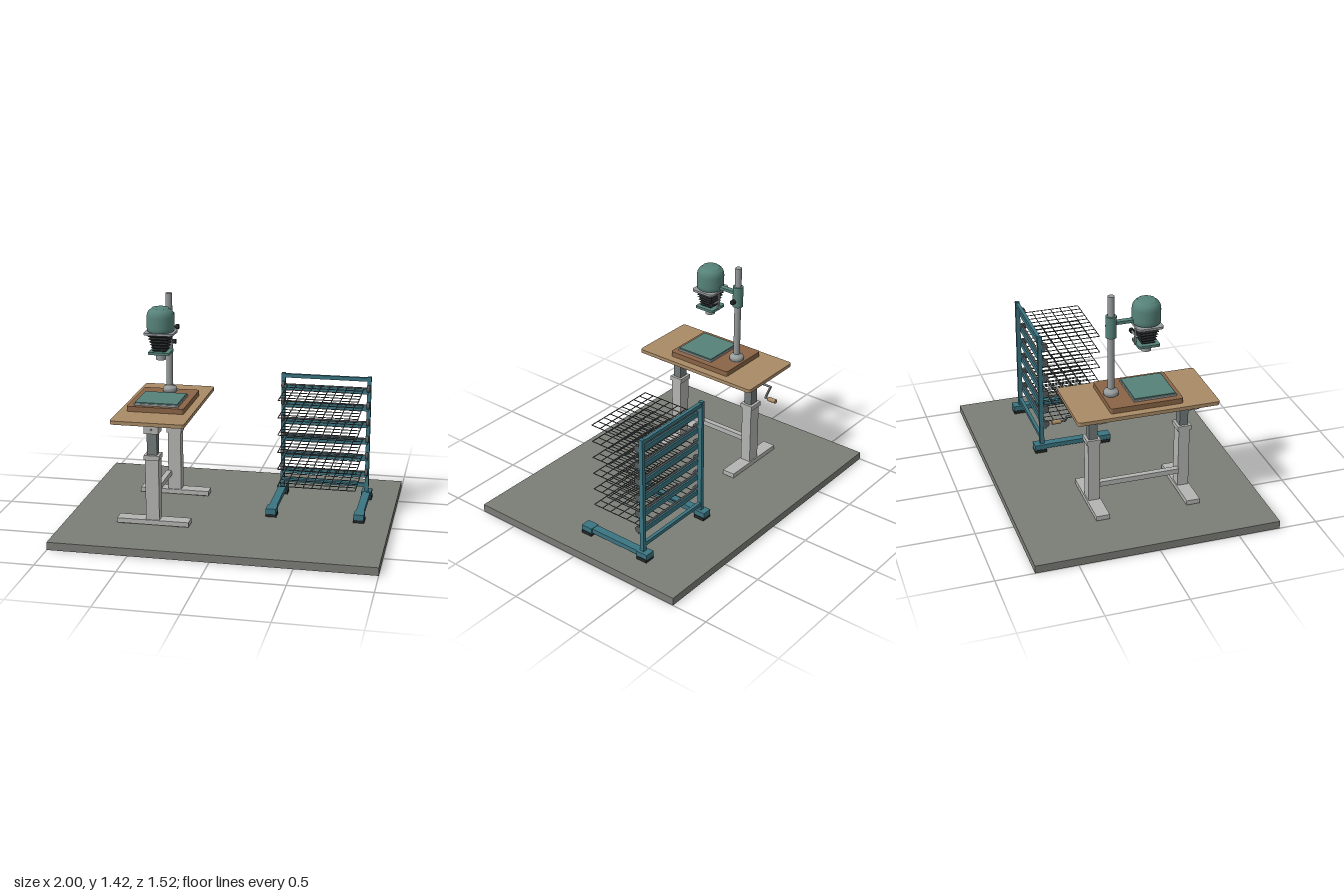
import * as THREE from 'three';
import { mergeGeometries } from 'three/addons/utils/BufferGeometryUtils.js';

const mat = (color, extra = {}) => {
  const m = new THREE.MeshStandardMaterial({ color });
  return Object.assign(m, extra);
};
const M = {
  floor: mat(0x7b7d77), wood: mat(0xa98a66), darkWood: mat(0x8a6546), teal: mat(0x568279),
  rack: mat(0x3b7582), light: mat(0xb4b4b2), steel: mat(0x959a9b), inner: mat(0x727a79),
  black: mat(0x232727), wire: mat(0x565a5b), bellows: mat(0x232727, { flatShading: true }),
};

function add(parent, name, geo, material, x = 0, y = 0, z = 0) {
  const m = new THREE.Mesh(geo, material);
  m.name = name;
  m.position.set(x, y, z);
  parent.add(m);
  return m;
}
const box = (w, h, d) => new THREE.BoxGeometry(w, h, d);
const cyl = (r, h, n = 24, r2 = r) => new THREE.CylinderGeometry(r2, r, h, n);
const cylX = (r, h, n = 20) => cyl(r, h, n).rotateZ(Math.PI / 2);
const cylZ = (r, h, n = 20) => cyl(r, h, n).rotateX(Math.PI / 2);
const lathe = pts => new THREE.LatheGeometry(pts.map(p => new THREE.Vector2(...p)), 32);

// Horizontal board with rounded corners, bottom at y = 0
function slab(w, d, h, r) {
  const s = new THREE.Shape(), a = w / 2, b = d / 2;
  s.moveTo(-a + r, -b).lineTo(a - r, -b);
  s.absarc(a - r, -b + r, r, -Math.PI / 2, 0);
  s.absarc(a - r, b - r, r, 0, Math.PI / 2);
  s.absarc(-a + r, b - r, r, Math.PI / 2, Math.PI);
  s.absarc(-a + r, -b + r, r, Math.PI, Math.PI * 1.5);
  return new THREE.ExtrudeGeometry(s, { depth: h, bevelEnabled: false, curveSegments: 6 }).rotateX(-Math.PI / 2);
}

// Rectangular pleated bellows built from folded rings
function bellowsGeometry(h, topW, topD, botW, botD, folds) {
  const pos = [], idx = [], n = folds * 2;
  for (let i = 0; i <= n; i++) {
    const t = i / n, k = i % 2 ? 1 : 0.82;
    const w = THREE.MathUtils.lerp(botW, topW, t) * k / 2, d = THREE.MathUtils.lerp(botD, topD, t) * k / 2;
    for (const [sx, sz] of [[1, 1], [1, -1], [-1, -1], [-1, 1]]) pos.push(sx * w, t * h, sz * d);
  }
  for (let i = 0; i < n; i++) for (let j = 0; j < 4; j++) {
    const a = i * 4 + j, b = i * 4 + (j + 1) % 4;
    idx.push(a, b, b + 4, a, b + 4, a + 4);
  }
  const g = new THREE.BufferGeometry();
  g.setAttribute('position', new THREE.Float32BufferAttribute(pos, 3));
  g.setIndex(idx);
  g.computeVertexNormals();
  return g;
}

function makeTable() {
  const t = new THREE.Group();
  t.name = 'craneTable'.replace('crane', 'crank');
  t.position.x = -0.443;
  add(t, 'tableTop', slab(0.46, 0.88, 0.023, 0.02), M.wood, 0, 0.725, 0.04);

  // Telescopic legs
  for (const z of [0.329, -0.249]) {
    const leg = new THREE.Group();
    leg.name = 'telescopicLeg';
    leg.position.z = z;
    t.add(leg);
    add(leg, 'foot', box(0.455, 0.03, 0.085), M.light, 0, 0.071, 0);
    for (const x of [-0.16, 0.16]) add(leg, 'footPad', box(0.08, 0.008, 0.06), M.inner, x, 0.053, 0);
    add(leg, 'outerTube', box(0.085, 0.41, 0.07), M.light, 0, 0.29, 0);
    add(leg, 'collar', box(0.096, 0.03, 0.088), M.light, 0, 0.491, 0);
    add(leg, 'innerTube', box(0.063, 0.16, 0.054), M.inner, 0, 0.58, 0);
    add(leg, 'gearHousing', box(0.09, 0.05, 0.088), M.light, 0, 0.67, 0);
    add(leg, 'topBeam', box(0.375, 0.031, 0.07), M.light, 0, 0.71, 0);
  }
  add(t, 'stretcher', box(0.035, 0.033, 0.51), M.light, -0.037, 0.197, 0.04);

  // Height crank
  add(t, 'crankShaft', cylZ(0.007, 0.78), M.inner, 0, 0.672, -0.01);
  const arm = add(t, 'crankArm', box(0.085, 0.014, 0.01), M.inner, 0.026, 0.645, -0.4);
  arm.rotation.z = Math.atan2(-0.055, 0.053);
  add(t, 'crankPin', cylZ(0.006, 0.04), M.inner, 0.053, 0.617, -0.415);
  add(t, 'crankHandle', cylZ(0.014, 0.055), M.wood, 0.053, 0.617, -0.453);
  return t;
}

function makeEnlarger() {
  const e = new THREE.Group();
  e.name = 'enlarger';
  e.position.x = -0.445;
  add(e, 'baseboard', slab(0.36, 0.45, 0.033, 0.015), M.darkWood, 0, 0.748, 0.04);
  add(e, 'easelFrame', box(0.28, 0.012, 0.267), M.steel, 0, 0.787, 0.103);
  add(e, 'easelPlate', box(0.268, 0.008, 0.255), M.teal, 0, 0.796, 0.103);

  // Column and sliding carriage
  const cz = -0.128;
  add(e, 'columnFlange', lathe([[0, 0.78], [0.046, 0.78], [0.046, 0.8], [0.04, 0.81], [0.026, 0.815], [0.02, 0.825]]), M.steel, 0, 0, cz);
  add(e, 'column', cyl(0.021, 0.62), M.steel, 0, 1.108, cz);
  add(e, 'carriage', cyl(0.033, 0.135), M.teal, 0, 1.225, cz);
  add(e, 'carriageKnobStem', cylX(0.007, 0.03), M.black, 0.035, 1.203, cz);
  add(e, 'carriageKnob', cylX(0.016, 0.02), M.black, 0.053, 1.203, cz);
  add(e, 'headArm', box(0.035, 0.018, 0.14), M.teal, 0, 1.247, -0.035);

  // Lamp head, bellows and lens
  const h = new THREE.Group();
  h.name = 'enlargerHead';
  h.position.z = 0.088;
  e.add(h);
  add(h, 'lampHouse', lathe([[0, 1.22], [0.078, 1.22], [0.085, 1.232], [0.086, 1.25], [0.086, 1.315], [0.082, 1.338],
    [0.071, 1.355], [0.055, 1.363], [0.053, 1.37], [0, 1.373]]), M.teal);
  add(h, 'negativeCarrier', slab(0.187, 0.16, 0.014, 0.025), M.steel, 0, 1.208, 0);
  add(h, 'bellows', bellowsGeometry(0.11, 0.145, 0.13, 0.09, 0.08, 6), M.bellows, 0, 1.099, 0);
  add(h, 'lensBoard', slab(0.134, 0.134, 0.016, 0.012), M.teal, 0, 1.084, 0);
  add(h, 'lensBarrel', cyl(0.031, 0.042), M.steel, 0, 1.064, 0);
  add(h, 'focusRail', box(0.014, 0.13, 0.01), M.steel, 0, 1.15, -0.066);
  add(h, 'focusShaft', cylX(0.006, 0.07), M.steel, 0.033, 1.145, -0.066);
  add(h, 'focusKnob', cylX(0.015, 0.02), M.black, 0.07, 1.145, -0.066);
  return e;
}

// Wire shelf: crossing thin rods merged into one mesh
function shelfGeometry(w, d, nx, nz) {
  const parts = [], r = 0.003;
  for (let i = 0; i < nx; i++) parts.push(cylZ(r, d, 6).translate(-w / 2 + w * i / (nx - 1), 0, 0));
  for (let j = 0; j < nz; j++) parts.push(cylX(r, w, 6).translate(0, 0, -d / 2 + d * j / (nz - 1)));
  return mergeGeometries(parts);
}

function makeRack() {
  const r = new THREE.Group();
  r.name = 'dryingRack';
  r.position.x = 0.526;
  for (const s of [-1, 1]) {
    const x = s * 0.277;
    add(r, 'upright', box(0.024, 0.775, 0.028), M.rack, x, 0.485, -0.379);
    add(r, 'footRail', box(0.05, 0.03, 0.51), M.rack, x, 0.087, -0.176);
    for (const z of [0.041, -0.393]) {
      add(r, 'footCap', box(0.064, 0.034, 0.078), M.rack, x, 0.087, z);
      add(r, 'footPad', box(0.07, 0.022, 0.074), M.black, x, 0.06, z);
    }
  }
  for (const y of [0.855, 0.145]) add(r, 'crossBar', box(0.54, 0.024, 0.022), M.rack, 0, y, -0.379);

  // Six hinged wire shelves
  const shelf = shelfGeometry(0.49, 0.38, 10, 7);
  for (let i = 0; i < 6; i++) {
    const y = 0.241 + i * 0.112;
    add(r, 'shelfBar', box(0.555, 0.034, 0.024), M.rack, 0, y - 0.018, -0.353);
    add(r, 'hingeRod', cylX(0.006, 0.54, 10), M.wire, 0, y + 0.003, -0.348);
    for (const s of [-1, 1]) add(r, 'hingeDisc', cylX(0.022, 0.02), M.wire, s * 0.275, y, -0.348);
    add(r, 'wireShelf', shelf, M.wire, 0, y, -0.162);
  }
  return r;
}

export function createModel() {
  const g = new THREE.Group();
  g.name = 'darkroomSet';
  add(g, 'floor', box(2, 0.05, 1.525), M.floor, 0, 0.025, 0);
  g.add(makeTable(), makeEnlarger(), makeRack());
  return g;
}
